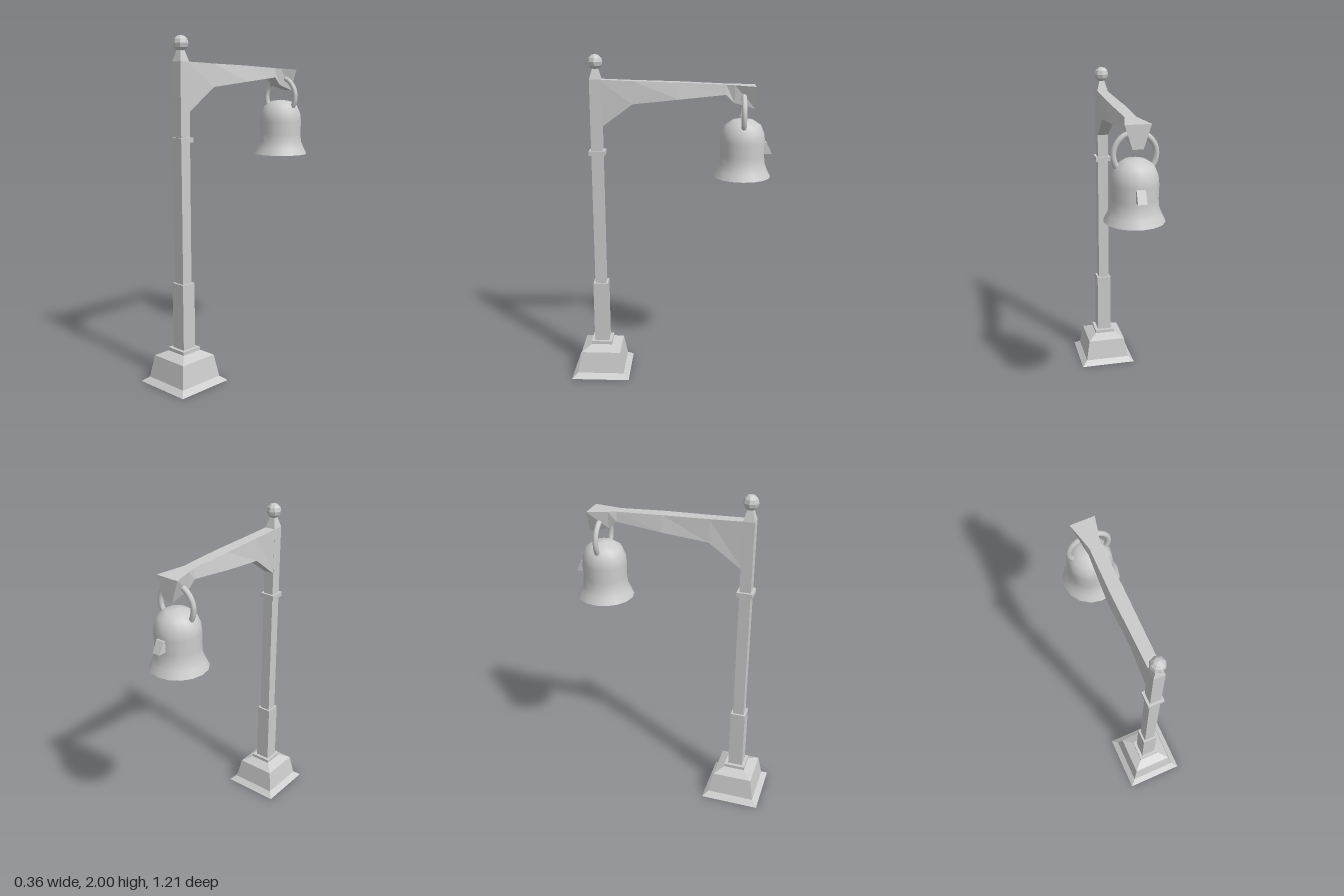
import * as THREE from 'three';

const POST_Z = 0.427;
const BELL_Z = -0.434;
const grey = () => new THREE.MeshStandardMaterial({ color: 0xcccccc });
const flat = () => new THREE.MeshStandardMaterial({ color: 0xcccccc, flatShading: true });

function part(parent, name, geometry, material, x = 0, y = 0, z = 0) {
  const mesh = new THREE.Mesh(geometry, material);
  mesh.name = name;
  mesh.position.set(x, y, z);
  parent.add(mesh);
  return mesh;
}

// Square block on the post axis, tapering from half-width r0 at y0 to r1 at y1
function block(parent, name, y0, r0, y1, r1 = r0) {
  const g = new THREE.CylinderGeometry(r1 * Math.SQRT2, r0 * Math.SQRT2, y1 - y0, 4);
  g.rotateY(Math.PI / 4);
  return part(parent, name, g, flat(), 0, (y0 + y1) / 2, POST_Z);
}

// Beam lofted through sections [z, topY, topHalf, bottomY, bottomHalf], running towards -z
function loft(sections) {
  const pos = [], index = [];
  for (const [z, ty, tw, by, bw] of sections) {
    pos.push(-tw, ty, z, tw, ty, z, bw, by, z, -bw, by, z);
  }
  for (let i = 0; i < sections.length - 1; i++) {
    for (let j = 0; j < 4; j++) {
      const a = i * 4 + j, b = i * 4 + (j + 1) % 4;
      index.push(a, b, b + 4, a, b + 4, a + 4);
    }
  }
  const e = (sections.length - 1) * 4;
  index.push(0, 3, 2, 0, 2, 1, e, e + 1, e + 2, e, e + 2, e + 3);
  const g = new THREE.BufferGeometry();
  g.setAttribute('position', new THREE.Float32BufferAttribute(pos, 3));
  g.setIndex(index);
  const out = g.toNonIndexed();
  out.computeVertexNormals();
  return out;
}

const lathe = (pts, sides) =>
  new THREE.LatheGeometry(pts.map(([r, y]) => new THREE.Vector2(r, y)), sides);

export function createModel() {
  const model = new THREE.Group();
  model.name = 'streetLamp';

  // Stepped square foot
  const base = new THREE.Group();
  base.name = 'base';
  model.add(base);
  block(base, 'baseFlare', 0, 0.18, 0.028, 0.145);
  block(base, 'baseBody', 0.028, 0.145, 0.16, 0.122);
  block(base, 'baseShoulder', 0.16, 0.122, 0.19, 0.065);
  block(base, 'baseCollar', 0.19, 0.065, 0.21);

  // Post with sleeve, band and finial
  const post = new THREE.Group();
  post.name = 'post';
  model.add(post);
  block(post, 'postSleeve', 0.2, 0.045, 0.6);
  block(post, 'postShaft', 0.6, 0.033, 1.857);
  block(post, 'postBand', 1.412, 0.047, 1.44);
  block(post, 'finialNeck', 1.857, 0.033, 1.93, 0.012);
  part(post, 'finialBall', new THREE.SphereGeometry(0.044, 8, 6), flat(), 0, 1.956, POST_Z);

  // Bracketed arm with a flared end
  part(model, 'arm', loft([
    [0.41, 1.857, 0.032, 1.57, 0.032],
    [0.21, 1.85, 0.034, 1.718, 0.042],
    [-0.06, 1.843, 0.037, 1.748, 0.053],
    [-0.33, 1.832, 0.032, 1.775, 0.04],
    [-0.38, 1.83, 0.044, 1.728, 0.036],
    [-0.5, 1.825, 0.072, 1.695, 0.03],
  ]), flat());

  // Ring handle, its ends sunk into the bell
  const arc = THREE.MathUtils.degToRad(280);
  const ring = new THREE.TorusGeometry(0.117, 0.016, 8, 28, arc);
  ring.rotateZ(THREE.MathUtils.degToRad(-50));
  part(model, 'hangingRing', ring, grey(), 0, 1.655, BELL_Z);

  // Bell-shaped shade: outside, rim and hollow inside
  const shade = new THREE.Group();
  shade.name = 'lampShade';
  shade.position.z = BELL_Z;
  model.add(shade);
  part(shade, 'shadeOuter', lathe([
    [0.17, 1.29], [0.15, 1.33], [0.134, 1.37], [0.13, 1.42], [0.132, 1.5],
    [0.127, 1.545], [0.105, 1.597], [0.06, 1.627], [0, 1.635],
  ], 16), grey());
  part(shade, 'shadeRim', lathe([[0.132, 1.29], [0.17, 1.29]], 16), grey());
  part(shade, 'shadeInner', lathe([
    [0, 1.605], [0.055, 1.6], [0.095, 1.57], [0.11, 1.5], [0.11, 1.38], [0.132, 1.29],
  ], 16), grey());

  // Small wedge on the back of the shade
  const wedge = new THREE.Shape([
    [0.1, 1.43], [0.173, 1.43], [0.14, 1.498], [0.1, 1.498],
  ].map(([x, y]) => new THREE.Vector2(x, y)));
  const wedgeGeo = new THREE.ExtrudeGeometry(wedge, { depth: 0.05, bevelEnabled: false });
  wedgeGeo.translate(0, 0, -0.025);
  wedgeGeo.rotateY(Math.PI / 2);
  part(shade, 'shadeLatch', wedgeGeo, flat());

  return model;
}
